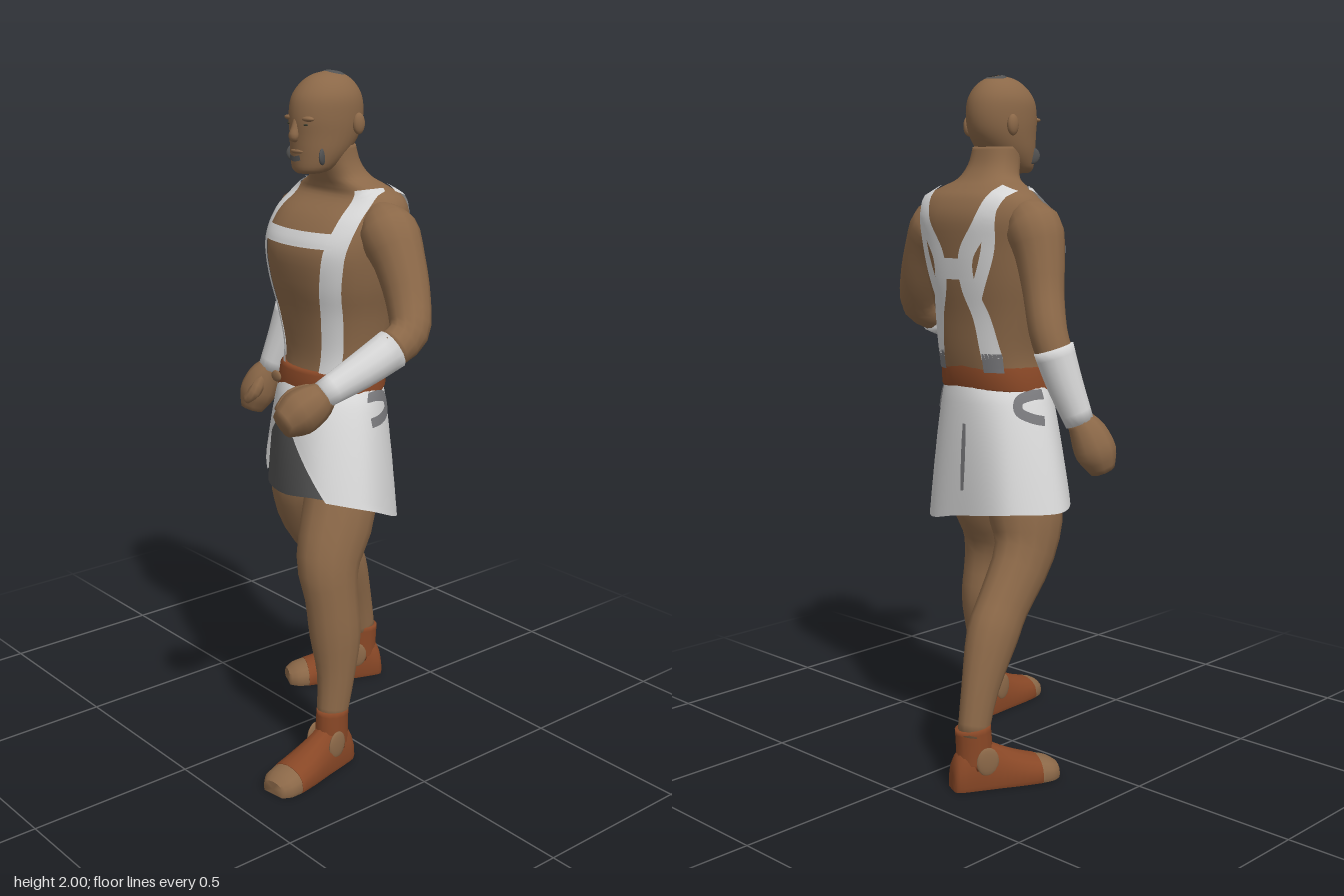
import * as THREE from 'three';
import { toCreasedNormals } from 'three/addons/utils/BufferGeometryUtils.js';

const V = (x, y, z) => new THREE.Vector3(x, y, z);
const mat = (name, color, double) => {
  const m = new THREE.MeshStandardMaterial({ color });
  m.name = name;
  if (double) m.side = THREE.DoubleSide;
  return m;
};

// Smoothly subdivides a short table of section values
function refine(rows, n = 4) {
  const out = [], at = i => rows[Math.min(Math.max(i, 0), rows.length - 1)];
  for (let i = 0; i < rows.length - 1; i++) for (let k = 0; k < n; k++) {
    const t = k / n;
    out.push(rows[i].map((b, c) => {
      const a = at(i - 1)[c], d = at(i + 1)[c], e = at(i + 2)[c];
      return b + 0.5 * t * (d - a + t * (2 * a - 5 * b + 4 * d - e + t * (3 * (b - d) + e - a)));
    }));
  }
  out.push(rows[rows.length - 1]);
  return out;
}

// Skins a list of point rings; closed rings get end caps
function loft(rings, closed = true) {
  const n = rings[0].length, pos = [], idx = [];
  rings.forEach(r => r.forEach(p => pos.push(p.x, p.y, p.z)));
  for (let i = 0; i < rings.length - 1; i++) for (let j = 0; j < (closed ? n : n - 1); j++) {
    const k = (j + 1) % n, a = i * n + j, b = i * n + k;
    idx.push(a, b, a + n, b, b + n, a + n);
  }
  if (closed) [0, rings.length - 1].forEach((r, end) => {
    const c = rings[r].reduce((s, p) => s.add(p), V(0, 0, 0)).divideScalar(n);
    const ci = pos.push(c.x, c.y, c.z) / 3 - 1;
    for (let j = 0; j < n; j++) {
      const a = r * n + j, b = r * n + (j + 1) % n;
      end ? idx.push(ci, a, b) : idx.push(ci, b, a);
    }
  });
  const g = new THREE.BufferGeometry();
  g.setAttribute('position', new THREE.Float32BufferAttribute(pos, 3));
  g.setIndex(idx);
  g.computeVertexNormals();
  return g;
}

// Upright body from rows [y, cx, cz, rx, rz]
const spow = (v, e) => Math.sign(v) * Math.abs(v) ** e;
const body = (rows, e) => loft(rows.map(([y, cx, cz, rx, rz]) =>
  Array.from({ length: 28 }, (_, j) => {
    const a = j / 28 * Math.PI * 2;
    return V(cx + rx * spow(Math.cos(a), 2 / e), y, cz - rz * spow(Math.sin(a), 2 / e));
  })));

// Limb along rows [x, y, z, radius]; k stretches its depth along ref
function limb(rows, k = 1, ref = V(0, 0, 1), sides = 14) {
  const f = refine(rows, 3), pts = f.map(r => V(r[0], r[1], r[2]));
  return loft(f.map((r, i) => {
    const t = pts[Math.min(i + 1, pts.length - 1)].clone().sub(pts[Math.max(i - 1, 0)]).normalize();
    const d = ref.clone().addScaledVector(t, -ref.dot(t)).normalize(), s = d.clone().cross(t);
    return Array.from({ length: sides }, (_, j) => {
      const a = j / sides * Math.PI * 2;
      return pts[i].clone().addScaledVector(s, r[3] * Math.cos(a)).addScaledVector(d, r[3] * k * Math.sin(a));
    });
  }));
}

// Flat strip along a 2D path, each point placed by a surface rule
function strip(points, width, place) {
  const curve = new THREE.CatmullRomCurve3(points.map(p => V(p[0], p[1], 0)));
  return loft(Array.from({ length: 33 }, (_, i) => {
    const p = curve.getPoint(i / 32), t = curve.getTangent(i / 32);
    return Array.from({ length: 6 }, (_, j) => {
      const w = (j / 5 - 0.5) * width;
      return place(p.x - t.y * w, p.y + t.x * w);
    });
  }), false);
}

// Strip laid on the front (sign 1) or back (sign -1) of an upright body
const ribbon = (rows, e, points, width, sign) => strip(points, width, (x, y) => {
  let i = 0;
  while (i < rows.length - 2 && rows[i + 1][0] < y) i++;
  const t = THREE.MathUtils.clamp((y - rows[i][0]) / (rows[i + 1][0] - rows[i][0]), 0, 1);
  const [, cx, cz, rx, rz] = rows[i].map((v, c) => v + (rows[i + 1][c] - v) * t);
  return V(x, y + 0.003, cz + sign * (rz * Math.max(0, 1 - Math.abs((x - cx) / rx) ** e) ** (1 / e) + 0.007));
});

export function createModel() {
  const root = new THREE.Group();
  root.name = 'standingFighter';
  const skin = mat('skin', 0x8b6848), white = mat('white cloth', 0xd6d6d6, true);
  const leather = mat('leather', 0x884726), grey = mat('grey', 0x77777a, true);
  const dark = mat('dark grey', 0x525252, true), olive = mat('dark olive', 0x3e3e2f, true);
  const add = (name, geo, m, parent = root) => {
    const mesh = new THREE.Mesh(geo, m);
    mesh.name = name;
    parent.add(mesh);
    return mesh;
  };
  const blob = (name, m, p, s, parent) => {
    const b = add(name, new THREE.SphereGeometry(1, 14, 10), m, parent);
    b.position.set(...p);
    b.scale.set(...s);
    return b;
  };

  // Torso and neck
  const trunk = refine([
    [0.88, 0.03, -0.01, 0.13, 0.09], [1.08, 0.035, -0.03, 0.16, 0.12], [1.2, 0.035, -0.05, 0.155, 0.127],
    [1.32, 0.03, -0.05, 0.175, 0.14], [1.42, 0.03, -0.047, 0.2, 0.159], [1.52, 0.03, -0.05, 0.215, 0.166],
    [1.6, 0.03, -0.075, 0.22, 0.143], [1.655, 0.03, -0.098, 0.198, 0.098], [1.685, 0.03, -0.085, 0.15, 0.08],
    [1.71, 0.03, -0.066, 0.098, 0.07], [1.75, 0.03, -0.045, 0.078, 0.063], [1.8, 0.03, -0.03, 0.073, 0.062]]);
  add('torso', body(trunk, 2.4), skin);

  // Head and face
  const skull = refine([
    [1.725, 0.03, 0.045, 0.034, 0.038], [1.738, 0.03, 0.035, 0.058, 0.058], [1.78, 0.03, 0.01, 0.077, 0.086],
    [1.83, 0.03, -0.008, 0.086, 0.106], [1.88, 0.03, -0.013, 0.09, 0.114], [1.93, 0.03, -0.015, 0.087, 0.107],
    [1.967, 0.03, -0.018, 0.068, 0.083], [1.99, 0.03, -0.02, 0.04, 0.05], [2, 0.03, -0.02, 0.008, 0.01]]);
  add('head', body(skull, 2), skin);
  add('nose', limb([[0.03, 1.88, 0.09, 0.009], [0.03, 1.85, 0.097, 0.012], [0.03, 1.828, 0.102, 0.015],
    [0.03, 1.818, 0.094, 0.008]]), skin);
  add('chinStubble', ribbon(skull, 2, [[0.008, 1.768], [0.03, 1.764], [0.052, 1.768]], 0.014, 1), dark);
  blob('lips', skin, [0.03, 1.787, 0.091], [0.026, 0.007, 0.009]);
  for (const s of [-1, 1]) {
    blob('ear', skin, [0.03 + s * 0.088, 1.86, -0.058], [0.013, 0.03, 0.02]);
    blob('brow', skin, [0.03 + s * 0.034, 1.877, 0.083], [0.028, 0.008, 0.013]);
    blob('eye', olive, [0.03 + s * 0.034, 1.861, 0.089], [0.011, 0.003, 0.004]);
    blob('jawStubble', dark, [0.03 + s * 0.062, 1.775, 0.05], [0.007, 0.024, 0.024]).rotation.y = s * -0.5 + s;
  }
  const crown = add('crownMark', new THREE.LatheGeometry(
    [new THREE.Vector2(0.038, -0.012), new THREE.Vector2(0.03, -0.004), new THREE.Vector2(0.02, 0)], 20), dark);
  crown.position.set(0.03, 1.999, -0.042);
  crown.rotation.x = -0.2;

  // Harness straps, front and back
  for (const s of [-1, 1]) {
    const line = pts => pts.map(([x, y]) => [0.03 + s * x, y]);
    const strap = (name, pts, w, side, m = white) => add(name, ribbon(trunk, 2.4, line(pts), w, side), m);
    strap('frontStrap', [[0.145, 1.682], [0.16, 1.6], [0.15, 1.5], [0.125, 1.35], [0.105, 1.16]], 0.053, 1);
    strap('backStrap', [[0.145, 1.682], [0.11, 1.58], [0.055, 1.49], [0.055, 1.41], [0.085, 1.32], [0.1, 1.2]], 0.052, -1);
    strap('backStrapBranch', [[0.135, 1.62], [0.125, 1.51], [0.075, 1.37]], 0.036, -1);
    strap('backStrapEnd', [[0.1, 1.215], [0.1, 1.16]], 0.05, -1, grey);
    blob('beltPatch', skin, [0.03 + s * 0.1, 1.122, 0.092], [0.022, 0.017, 0.007]);
  }
  add('chestBand', ribbon(trunk, 2.4, [[-0.118, 1.548], [0.03, 1.546], [0.178, 1.548]], 0.042, 1), white);
  add('backBand', ribbon(trunk, 2.4, [[-0.04, 1.455], [0.1, 1.455]], 0.06, -1), white);

  // Belt, a little higher at the back
  const belt = body([[1.095, 0.035, -0.03, 0.168, 0.13], [1.103, 0.035, -0.03, 0.172, 0.135],
    [1.165, 0.035, -0.037, 0.164, 0.136], [1.172, 0.035, -0.037, 0.152, 0.125]], 2.3);
  const bp = belt.attributes.position;
  for (let i = 0; i < bp.count; i++) bp.setY(i, bp.getY(i) - 0.08 * bp.getZ(i));
  belt.computeVertexNormals();
  add('belt', belt, leather);

  // Flared skirt: waist ellipse blended into an uneven hem, open at the front
  const hem = new THREE.CatmullRomCurve3([V(0.31, 0.8, 0.06), V(0.22, 0.83, 0.18), V(0.07, 0.81, 0.19),
    V(-0.13, 0.79, 0.1), V(-0.255, 0.77, -0.06), V(-0.17, 0.77, -0.195), V(0.03, 0.74, -0.2), V(0.2, 0.71, -0.15)], true);
  const skirtAt = (deg, t, out = 1) => {
    const u = ((deg / 360) % 1 + 1) % 1, a = u * Math.PI * 2, h = hem.getPoint(u);
    const x = THREE.MathUtils.lerp(0.035 + 0.17 * Math.cos(a), h.x, t ** 0.8);
    const z = THREE.MathUtils.lerp(-0.03 + 0.135 * Math.sin(a), h.z, t ** 0.65);
    return V(0.03 + (x - 0.03) * out, THREE.MathUtils.lerp(1.115, h.y, t), z * out);
  };
  const patch = (t0, t1, from, to, out, cols = 12) => loft(Array.from({ length: 17 }, (_, i) => {
    const t = t0 + (t1 - t0) * i / 16;
    return Array.from({ length: cols + 1 }, (_, j) => skirtAt(from(t) + (to(t) - from(t)) * j / cols, t, out(t)));
  }).reverse().map(r => r.reverse()), false);
  const gap = t => Math.max(0, (t - 0.2) / 0.8) * 62, inset = t => 1 - 0.09 * t;
  add('skirt', patch(0, 1, t => 98 + gap(t), t => 458 - gap(t), () => 1, 56), white);
  add('skirtInnerTop', patch(0.18, 0.4, t => 94 - gap(t), t => 102 + gap(t), inset), olive);
  add('skirtInnerPanel', patch(0.4, 1, t => 90 - gap(t), t => 106 + gap(t), inset), dark);
  add('backSlit', patch(0.28, 0.8, t => 265 - 9 * t * (1 - t), t => 265 + 9 * t * (1 - t), () => 1.02, 4), grey);
  // Hooked marks on the hips, drawn in skirt angle and height
  for (const s of [-1, 1]) add('hipMark', strip([[2, 0.05], [-14, 0.05], [-29, 0.09], [-30, 0.17], [-18, 0.23], [-4, 0.26]]
    .map(([d, t]) => [d * 0.003, t * 0.35]), 0.028, (x, y) => {
    const d = x / 0.003;
    return skirtAt(s > 0 ? d : 180 - d, y / 0.35, 1.025);
  }), grey);

  // Arms, bracers and fists
  const up = V(0, 1, 0);
  const arms = [
    ['right', V(0, 0, 1), [[-0.12, 1.635, -0.1, 0.025], [-0.185, 1.58, -0.11, 0.076], [-0.22, 1.5, -0.12, 0.068],
      [-0.252, 1.4, -0.14, 0.056], [-0.29, 1.3, -0.163, 0.052], [-0.315, 1.23, -0.16, 0.05]],
    [[-0.312, 1.255, -0.165, 0.057], [-0.335, 1.16, -0.145, 0.051], [-0.365, 1.05, -0.115, 0.041]],
    [[-0.362, 1.06, -0.117, 0.034], [-0.382, 1.02, -0.1, 0.05], [-0.4, 0.965, -0.085, 0.055], [-0.41, 0.915, -0.07, 0.034]],
    [[-0.362, 1.03, -0.08, 0.018], [-0.36, 0.985, -0.045, 0.021], [-0.385, 0.955, -0.03, 0.014]]],
    ['left', up, [[0.18, 1.635, -0.07, 0.025], [0.245, 1.58, -0.055, 0.08], [0.303, 1.5, -0.05, 0.07],
      [0.357, 1.4, -0.035, 0.06], [0.397, 1.325, 0, 0.054], [0.398, 1.285, 0.075, 0.05]],
    [[0.397, 1.29, 0.06, 0.057], [0.38, 1.24, 0.16, 0.05], [0.358, 1.19, 0.27, 0.038]],
    [[0.36, 1.193, 0.26, 0.034], [0.345, 1.17, 0.285, 0.05], [0.325, 1.14, 0.33, 0.056], [0.315, 1.115, 0.375, 0.034]],
    [[0.325, 1.2, 0.285, 0.018], [0.29, 1.18, 0.32, 0.022], [0.285, 1.145, 0.36, 0.015]]]];
  for (const [side, ref, arm, bracer, fist, thumb] of arms) {
    add(side + 'Arm', limb(arm, 1.05), skin);
    add(side + 'Bracer', limb(bracer, 1, ref), white);
    add(side + 'Fist', limb(fist, 1.1, ref, 10), skin);
    add(side + 'Thumb', limb(thumb, 1, ref, 8), skin);
  }

  // Legs
  add('leftLeg', limb([[0.13, 0.95, 0.01, 0.075], [0.165, 0.77, 0.045, 0.095], [0.193, 0.63, 0.11, 0.083], [0.213, 0.52, 0.115, 0.069],
    [0.222, 0.4, 0.107, 0.067], [0.235, 0.28, 0.115, 0.05], [0.24, 0.15, 0.135, 0.04]], 1.2), skin);
  add('rightLeg', limb([[-0.06, 0.95, -0.045, 0.075], [-0.105, 0.77, -0.055, 0.1], [-0.13, 0.64, -0.085, 0.081], [-0.135, 0.5, -0.18, 0.069],
    [-0.14, 0.42, -0.23, 0.068], [-0.15, 0.28, -0.29, 0.049], [-0.155, 0.15, -0.325, 0.04]], 1.2), skin);

  // Boots with open toes; rows are [forward, half width, height]
  const shoe = rows => toCreasedNormals(loft(refine(rows, 3).map(([s, w, h]) =>
    Array.from({ length: 16 }, (_, j) => {
      const a = j / 16 * Math.PI * 2, down = Math.sin(a) < -0.01;
      return V(w * Math.cos(a), down ? 0 : 0.012 + (h - 0.012) * Math.max(0, Math.sin(a)) ** 0.8, s);
    }))), 0.9);
  for (const [side, x, z, yaw] of [['left', 0.24, 0.135, 0.14], ['right', -0.155, -0.32, -0.43]]) {
    const foot = new THREE.Group();
    foot.name = side + 'Foot';
    foot.position.set(x, 0, z);
    foot.rotation.y = yaw;
    root.add(foot);
    add('boot', shoe([[-0.068, 0.026, 0.05], [-0.055, 0.04, 0.1], [0, 0.047, 0.15], [0.06, 0.052, 0.12],
      [0.13, 0.06, 0.088], [0.19, 0.063, 0.068]]), leather, foot);
    add('toes', shoe([[0.188, 0.062, 0.067], [0.225, 0.057, 0.056], [0.25, 0.038, 0.04]]), skin, foot);
    add('bootCuff', limb([[0, 0.06, 0, 0.045], [0, 0.12, 0, 0.044], [0, 0.178, -0.004, 0.0435]], 1.2), leather, foot);
    for (const s of [-1, 1]) blob('bootOpening', skin, [s * 0.044, 0.083, 0.025], [0.008, 0.042, 0.034], foot);
  }
  return root;
}
